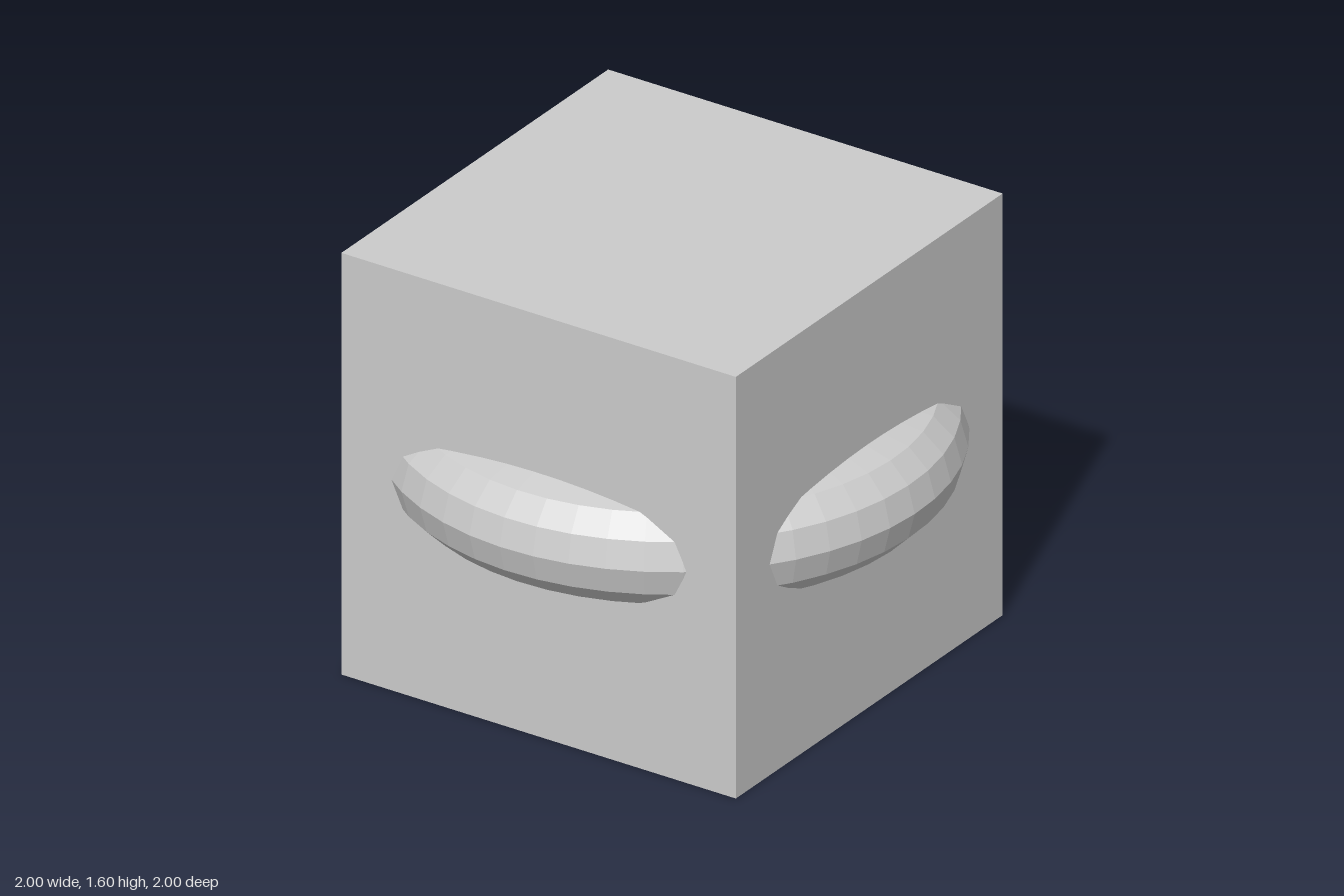
import * as THREE from 'three';

export function createModel() {
  const group = new THREE.Group();
  const material = new THREE.MeshStandardMaterial({ color: 0xcccccc, flatShading: true });

  // Cube, turned slightly about the vertical axis
  const cube = new THREE.Mesh(new THREE.BoxGeometry(1.6, 1.6, 1.6), material);
  cube.name = 'cube';
  cube.position.y = 0.8;
  cube.rotation.y = THREE.MathUtils.degToRad(8.8);
  group.add(cube);

  // Faceted horizontal ring that bulges out of the four side faces
  const ringGeometry = new THREE.TorusGeometry(0.8, 0.2, 12, 48);
  ringGeometry.rotateX(-Math.PI / 2);
  const ring = new THREE.Mesh(ringGeometry, material);
  ring.name = 'ring';
  ring.position.y = 0.8;
  group.add(ring);

  return group;
}
